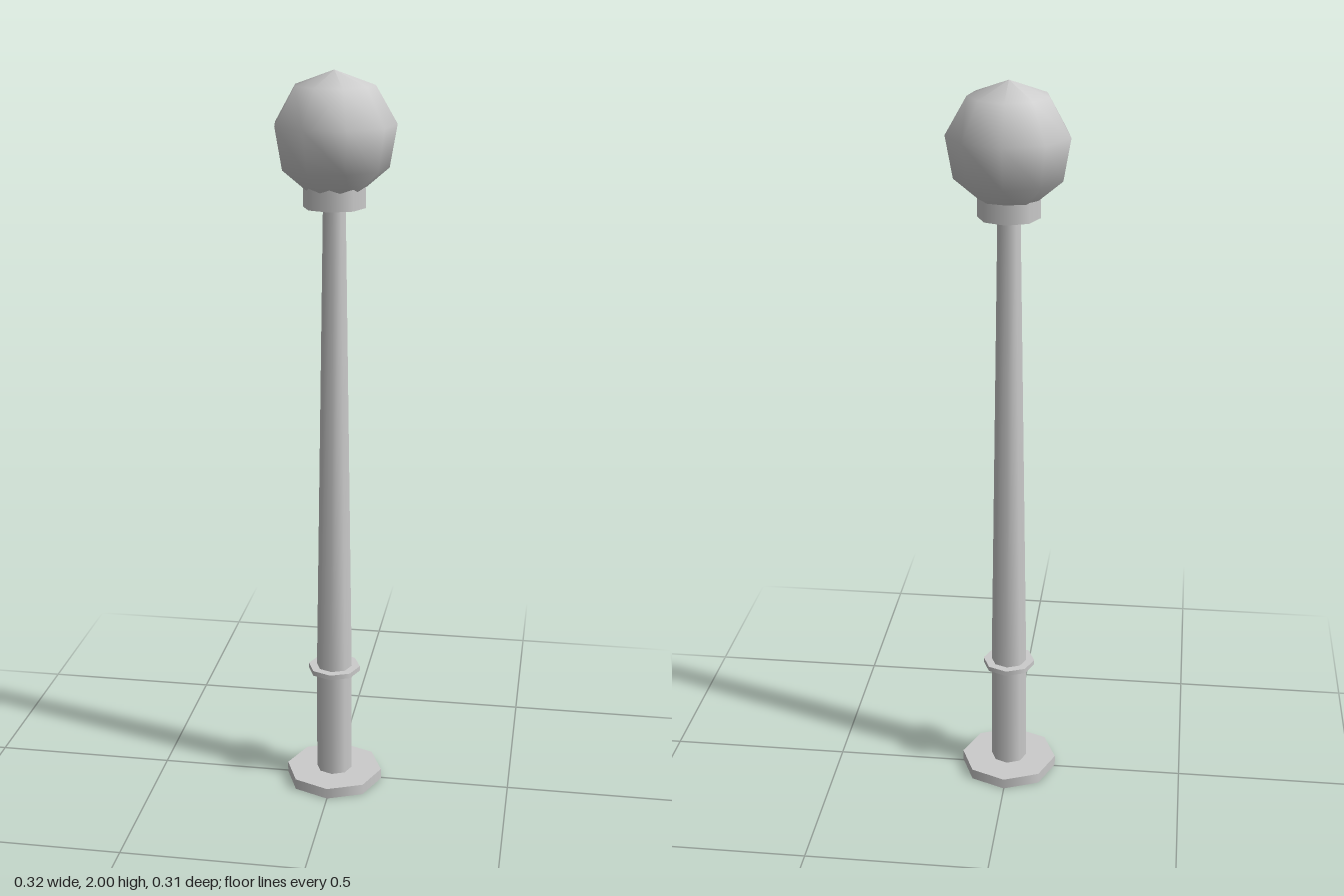
import * as THREE from 'three';

export function createModel() {
  const model = new THREE.Group();
  const material = new THREE.MeshStandardMaterial({ color: 0xcccccc });
  const axisZ = 0.005; // the nine-sided globe is uneven front to back, so the axis sits off centre

  function add(name, geometry, y = 0) {
    const mesh = new THREE.Mesh(geometry, material);
    mesh.name = name;
    mesh.position.set(0, y, axisZ);
    model.add(mesh);
  }

  // Eight-sided drum between two heights
  function drum(name, y0, y1, rBottom, rTop = rBottom) {
    add(name, new THREE.CylinderGeometry(rTop, rBottom, y1 - y0, 8), (y0 + y1) / 2);
  }

  drum('basePlate', 0, 0.03, 0.136);
  drum('lowerPost', 0.03, 0.345, 0.05);
  drum('postRing', 0.338, 0.352, 0.073);
  drum('taperedPost', 0.345, 1.655, 0.05, 0.03);
  drum('lampCollar', 1.652, 1.713, 0.082);

  // Globe: nine-sided profile turned in nine steps, its open foot hidden in the collar
  const radius = 0.164;
  const profile = [160, 120, 80, 40, 0].map((deg) => {
    const a = THREE.MathUtils.degToRad(deg);
    return new THREE.Vector2(radius * Math.sin(a), radius * Math.cos(a));
  });
  add('lampGlobe', new THREE.LatheGeometry(profile, 9, Math.PI), 2 - radius);

  return model;
}
